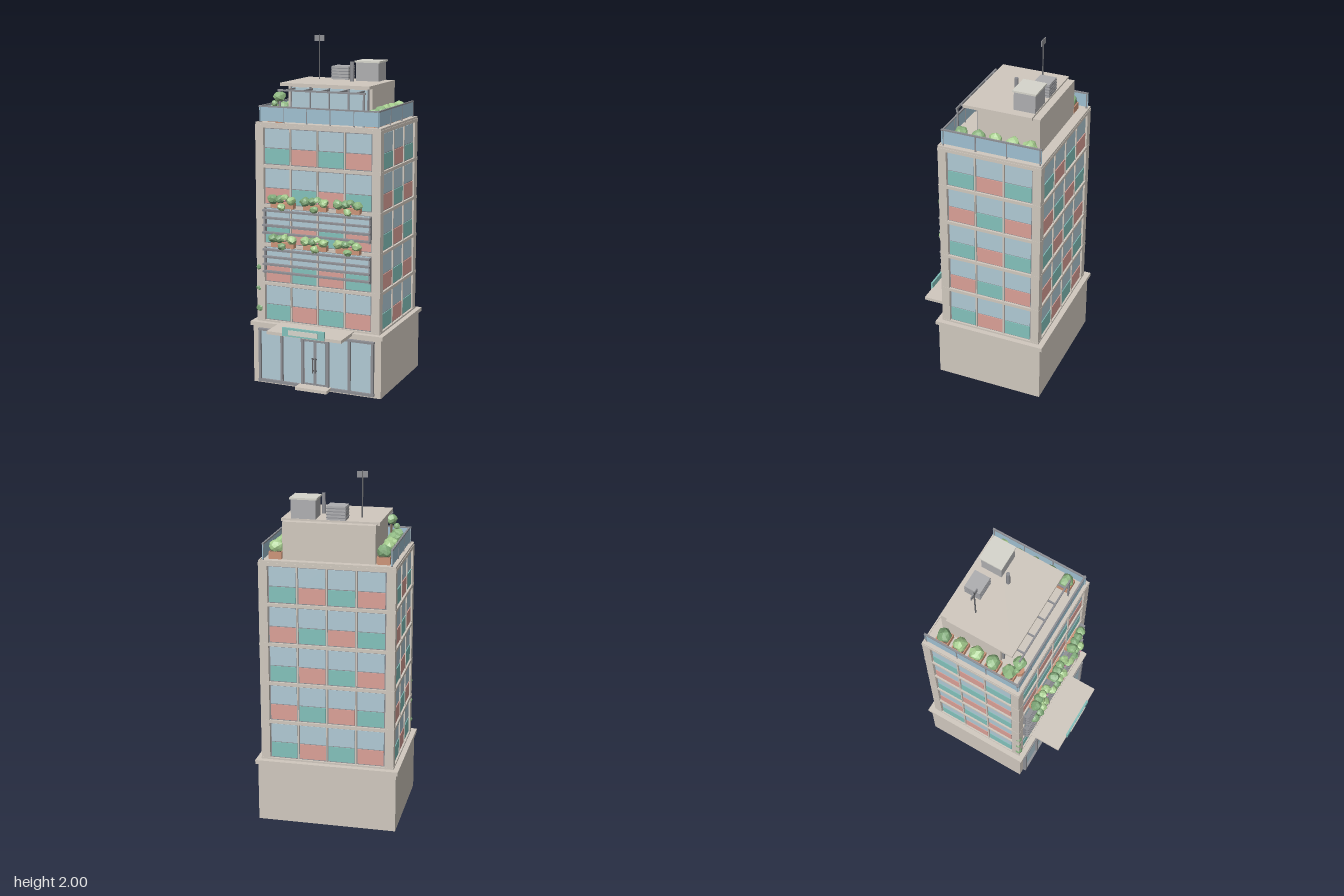
import * as THREE from 'three';

const mat = (color) => new THREE.MeshStandardMaterial({ color, flatShading: true });
const WALL = mat(0xd0c8be), GLASS = mat(0xb0c9d4), RED = mat(0xdaa097), TEAL = mat(0x83c1bb);
const METAL = mat(0x8e8f94), DARK = mat(0x65666a), LIGHT = mat(0xd6d5cc), UNIT = mat(0xaeaeb0);
const CLAY = mat(0xcc9478), SOIL = mat(0x7a6555), PINK = mat(0xd98ca8), RAIL = mat(0x9fbfd0);
const GREENS = [mat(0x7fa878), mat(0xa6cc8e), mat(0x8fb882)];
const CZ = -0.087; // depth centre of the tower

let seed = 7;
const rnd = () => (seed = (seed * 16807) % 2147483647) / 2147483647;

function add(parent, name, geo, material, x = 0, y = 0, z = 0) {
  const m = new THREE.Mesh(geo, material);
  m.name = name;
  m.position.set(x, y, z);
  parent.add(m);
  return m;
}

// Box given by its extents on each axis
function box(parent, name, material, [x0, x1], [y0, y1], [z0, z1]) {
  return add(parent, name, new THREE.BoxGeometry(x1 - x0, y1 - y0, z1 - z0), material,
    (x0 + x1) / 2, (y0 + y1) / 2, (z0 + z1) / 2);
}

function group(parent, name) {
  const g = new THREE.Group();
  g.name = name;
  parent.add(g);
  return g;
}

function rod(parent, name, material, r, x, z, y0, y1, sides = 8) {
  return add(parent, name, new THREE.CylinderGeometry(r, r, y1 - y0, sides), material, x, (y0 + y1) / 2, z);
}

// Faceted leafy clump: an icosahedron with each corner pushed in or out
function bush(parent, x, y, z, r, sy = 1) {
  const geo = new THREE.IcosahedronGeometry(r, 1);
  const p = geo.attributes.position, v = new THREE.Vector3(), push = {};
  for (let i = 0; i < p.count; i++) {
    v.fromBufferAttribute(p, i);
    const key = v.toArray().map((n) => Math.round(n * 1e4)).join();
    push[key] ??= 0.84 + 0.32 * rnd();
    v.multiplyScalar(push[key]);
    p.setXYZ(i, v.x, v.y * sy, v.z);
  }
  geo.computeVertexNormals();
  add(parent, 'foliage', geo, GREENS[Math.floor(rnd() * 3)], x, y, z);
}

// One tower side: five floors of glass over alternating coloured panels
function facade(parent, name, cols, half, depth, turn) {
  const g = group(parent, name);
  g.position.z = CZ;
  g.rotation.y = turn;
  const w = 2 * half / cols;
  for (let row = 0; row < 5; row++) {
    const y = 0.378 + row * 0.228;
    for (let c = 0; c < cols; c++) {
      const x = -half + c * w;
      box(g, 'windowFrame', METAL, [x + 0.002, x + w - 0.002], [y, y + 0.21], [depth - 0.03, depth - 0.012]);
      const span = [x + 0.008, x + w - 0.008];
      box(g, 'windowPane', GLASS, span, [y + 0.098, y + 0.204], [depth - 0.03, depth - 0.009]);
      box(g, 'colourPanel', (row + c) % 2 ? RED : TEAL, span, [y + 0.006, y + 0.093], [depth - 0.03, depth - 0.007]);
      if (c) box(g, 'mullion', WALL, [x - 0.004, x + 0.004], [y, y + 0.21], [depth - 0.03, depth - 0.003]);
    }
  }
}

function buildBase(root) {
  const g = group(root, 'groundFloor');
  box(g, 'podium', WALL, [-0.397, 0.397], [0, 0.347], [-0.405, 0.23]);
  box(g, 'podiumCornice', WALL, [-0.41, 0.41], [0.345, 0.368], [-0.42, 0.245]);
  // Shopfront
  box(g, 'shopGlass', GLASS, [-0.35, 0.35], [0.025, 0.325], [0.22, 0.236]);
  box(g, 'shopSill', METAL, [-0.36, 0.36], [0.012, 0.028], [0.22, 0.25]);
  box(g, 'shopHead', METAL, [-0.36, 0.36], [0.32, 0.332], [0.22, 0.25]);
  for (const s of [-1, 1]) {
    for (const x of [0.35, 0.21, 0.08])
      box(g, 'shopMullion', METAL, [s * x - 0.007, s * x + 0.007], [0.02, 0.325], [0.22, 0.25]);
    box(g, 'doorFrame', METAL, [s * 0.037 - 0.037, s * 0.037 + 0.037], [0.025, 0.3], [0.23, 0.244]);
    box(g, 'doorGlass', GLASS, [s * 0.037 - 0.027, s * 0.037 + 0.027], [0.042, 0.288], [0.23, 0.247]);
    rod(g, 'doorHandle', DARK, 0.004, s * 0.009, 0.262, 0.11, 0.2);
    for (const y of [0.12, 0.19]) box(g, 'handleMount', DARK, [s * 0.009 - 0.003, s * 0.009 + 0.003], [y - 0.003, y + 0.003], [0.244, 0.262]);
  }
  box(g, 'doorHead', METAL, [-0.08, 0.08], [0.295, 0.305], [0.23, 0.25]);
  box(g, 'entryStep', WALL, [-0.098, 0.098], [0.012, 0.03], [0.22, 0.31]);
  // Entrance canopy with blank sign board
  box(g, 'canopy', WALL, [-0.228, 0.228], [0.356, 0.374], [0.2, 0.404]);
  box(g, 'signBoard', TEAL, [-0.128, 0.128], [0.36, 0.41], [0.4, 0.411]);
  box(g, 'signPlate', LIGHT, [-0.089, 0.089], [0.37, 0.398], [0.408, 0.415]);
}

function buildTower(root) {
  const g = group(root, 'tower');
  box(g, 'core', WALL, [-0.355, 0.355], [0.36, 1.51], [CZ - 0.275, CZ + 0.275]);
  for (const sx of [-1, 1]) for (const sz of [-1, 1]) {
    const x = sx * 0.355, z = CZ + sz * 0.276;
    box(g, 'cornerColumn', WALL, [x - 0.025, x + 0.025], [0.36, 1.51], [z - 0.024, z + 0.024]);
  }
  for (let i = 0; i < 6; i++) {
    const y = 0.36 + i * 0.228;
    box(g, 'floorBand', WALL, [-0.381, 0.381], [y, y + 0.018], [CZ - 0.301, CZ + 0.301]);
  }
  box(g, 'roofSlab', WALL, [-0.374, 0.374], [1.51, 1.525], [CZ - 0.295, CZ + 0.295]);
  for (const s of [-1, 1]) {
    box(g, 'roofRim', WALL, [s * 0.374 - 0.004, s * 0.374 + 0.004], [1.51, 1.53], [CZ - 0.299, CZ + 0.299]);
    box(g, 'roofRim', WALL, [-0.374, 0.374], [1.51, 1.53], [CZ + s * 0.295 - 0.004, CZ + s * 0.295 + 0.004]);
  }
  facade(g, 'frontFacade', 4, 0.33, 0.3, 0);
  facade(g, 'backFacade', 4, 0.33, 0.3, Math.PI);
  facade(g, 'leftFacade', 3, 0.252, 0.38, Math.PI / 2);
  facade(g, 'rightFacade', 3, 0.252, 0.38, -Math.PI / 2);

  // Sun louvres and hanging planters on the front
  for (const base of [0.66, 0.888]) {
    const louvre = group(g, 'louvre');
    for (let i = 0; i < 4; i++) {
      const y = base + 0.014 + i * 0.043;
      box(louvre, 'slat', METAL, [-0.328, 0.328], [y - 0.005, y + 0.005], [0.22, 0.245]);
    }
    for (const x of [-0.322, 0.322]) box(louvre, 'slatBracket', METAL, [x - 0.005, x + 0.005], [base, base + 0.15], [0.205, 0.226]);
    for (const x of [-0.2, 0, 0.2]) {
      const p = group(g, 'hangingPlanter'), y = base + 0.195;
      box(p, 'planterBox', CLAY, [x - 0.07, x + 0.07], [y - 0.03, y], [0.212, 0.25]);
      for (const [dx, dy, r] of [[-0.055, 0.02, 0.031], [-0.012, 0.022, 0.027], [0.02, 0.03, 0.025], [0.058, 0.018, 0.028], [0, -0.022, 0.025]])
        bush(p, x + dx, y + dy, 0.243 + 0.012 * rnd(), r, 0.85);
      add(p, 'flower', new THREE.IcosahedronGeometry(0.006, 0), PINK, x + 0.03, y + 0.02, 0.275);
    }
  }
  // Climbing plant on the front corner
  for (const [x, y, r] of [[-0.365, 0.69, 0.018], [-0.37, 0.565, 0.015], [-0.362, 0.56, 0.012], [-0.365, 0.445, 0.022]])
    bush(g, x, y, 0.205, r);
}

function buildTerrace(root) {
  const g = group(root, 'terrace');
  // Glass railing on three sides
  box(g, 'frontRailing', RAIL, [-0.362, 0.362], [1.535, 1.616], [0.188, 0.194]);
  box(g, 'frontRail', METAL, [-0.364, 0.364], [1.614, 1.622], [0.186, 0.196]);
  for (let i = 0; i < 6; i++) rod(g, 'railingPost', METAL, 0.005, -0.355 + i * 0.142, 0.19, 1.52, 1.62);
  for (const s of [-1, 1]) {
    const x = s * 0.354;
    box(g, 'sideRailing', RAIL, [x - 0.003, x + 0.003], [1.535, 1.616], [-0.378, 0.2]);
    box(g, 'sideRail', METAL, [x - 0.005, x + 0.005], [1.614, 1.622], [-0.378, 0.2]);
    for (const z of [-0.37, -0.18, 0]) rod(g, 'railingPost', METAL, 0.005, x, z, 1.52, 1.62);
    // Row of planted boxes
    for (let i = 0; i < 5; i++) {
      const z = -0.291 + i * 0.1, c = s * 0.299;
      box(g, 'planter', CLAY, [c - 0.036, c + 0.036], [1.52, 1.565], [z - 0.037, z + 0.037]);
      box(g, 'planterSoil', SOIL, [c - 0.03, c + 0.03], [1.56, 1.568], [z - 0.031, z + 0.031]);
      bush(g, c, 1.588, z, 0.039, 0.95);
    }
  }
  // Small tree
  rod(g, 'treePot', CLAY, 0.026, -0.257, 0.147, 1.52, 1.565, 10);
  rod(g, 'treeTrunk', SOIL, 0.006, -0.257, 0.147, 1.56, 1.66, 6);
  bush(g, -0.257, 1.672, 0.147, 0.035, 0.85);
  bush(g, -0.287, 1.632, 0.147, 0.018);
}

function buildPenthouse(root) {
  const g = group(root, 'penthouse');
  box(g, 'penthouseBody', WALL, [-0.257, 0.257], [1.52, 1.735], [-0.328, 0.03]);
  box(g, 'penthouseGlass', GLASS, [-0.235, 0.235], [1.54, 1.715], [0.02, 0.036]);
  for (let i = 0; i < 5; i++) {
    const x = -0.235 + i * 0.1175;
    box(g, 'glassMullion', METAL, [x - 0.004, x + 0.004], [1.535, 1.72], [0.025, 0.041]);
  }
  box(g, 'penthouseRoof', WALL, [-0.272, 0.272], [1.728, 1.745], [-0.287, 0.11]);
  // Pergola
  box(g, 'pergolaBeam', METAL, [-0.265, 0.265], [1.703, 1.713], [0.145, 0.154]);
  for (let i = 0; i < 5; i++) {
    const x = -0.212 + i * 0.106;
    box(g, 'pergolaRafter', METAL, [x - 0.004, x + 0.004], [1.703, 1.714], [0.03, 0.154]);
  }
  for (const x of [-0.254, 0.254]) box(g, 'pergolaPost', METAL, [x - 0.005, x + 0.005], [1.52, 1.71], [0.145, 0.154]);
  // Rooftop equipment
  box(g, 'plantRoom', UNIT, [0.082, 0.219], [1.74, 1.853], [-0.284, -0.162]);
  box(g, 'plantRoomLid', LIGHT, [0.075, 0.226], [1.85, 1.86], [-0.291, -0.156]);
  box(g, 'coolingUnit', UNIT, [-0.084, 0.022], [1.74, 1.822], [-0.285, -0.193]);
  for (let i = 0; i < 4; i++) {
    const y = 1.756 + i * 0.017;
    box(g, 'coolingSlat', METAL, [-0.086, 0.024], [y, y + 0.005], [-0.287, -0.191]);
  }
  rod(g, 'ventPipe', METAL, 0.011, 0.075, -0.117, 1.74, 1.858, 12);
  rod(g, 'antennaMast', DARK, 0.004, -0.154, -0.178, 1.74, 2.0);
  box(g, 'antennaPanel', METAL, [-0.184, -0.124], [1.964, 1.998], [-0.181, -0.176]);
}

export function createModel() {
  seed = 7;
  const root = new THREE.Group();
  root.name = 'building';
  buildBase(root);
  buildTower(root);
  buildTerrace(root);
  buildPenthouse(root);
  return root;
}
